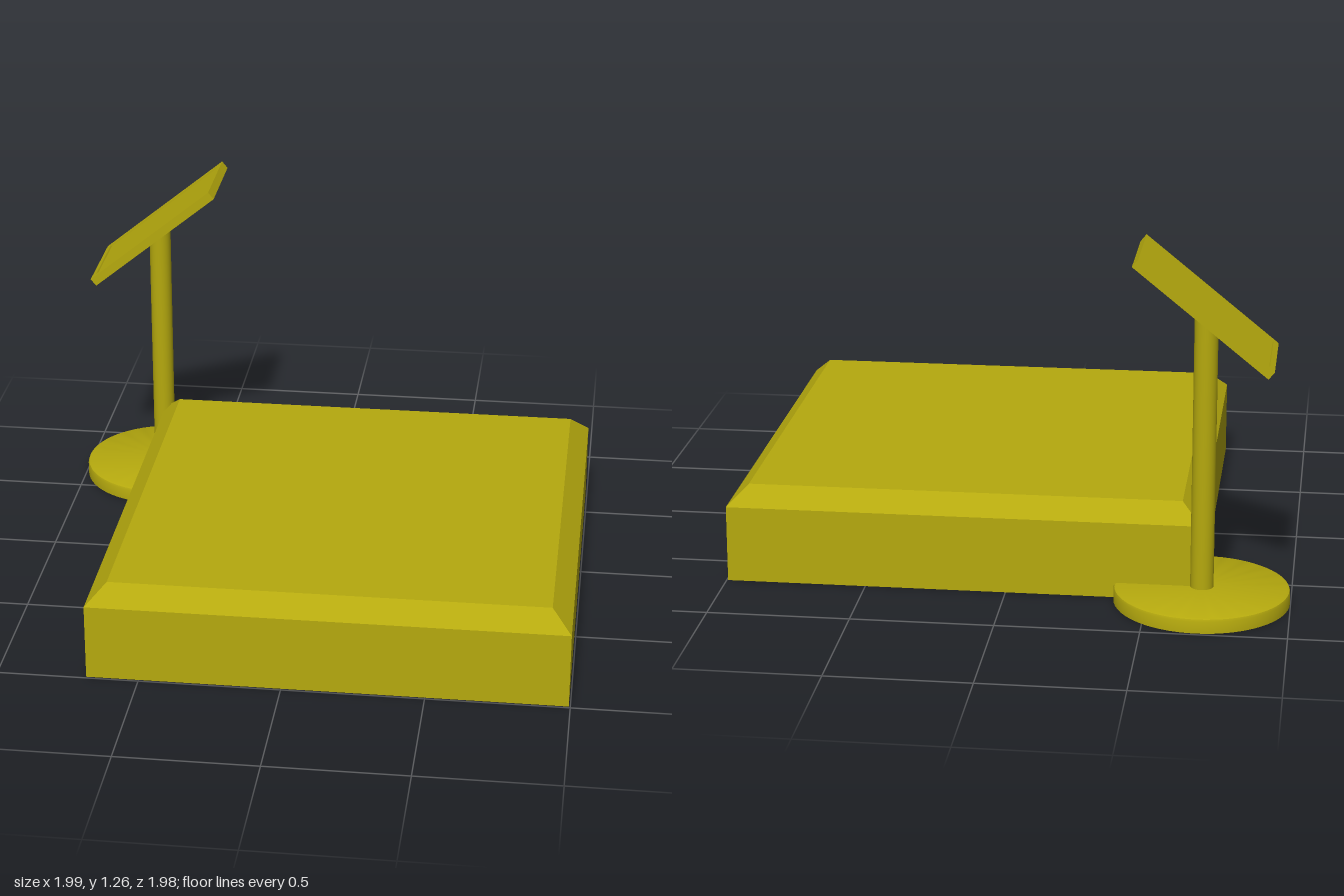
import * as THREE from 'three';
import { toCreasedNormals } from 'three/addons/utils/BufferGeometryUtils.js';

const material = new THREE.MeshStandardMaterial({ color: 0xb5a90e });

function add(parent, name, geometry, x = 0, y = 0, z = 0) {
  const mesh = new THREE.Mesh(geometry, material);
  mesh.name = name;
  mesh.position.set(x, y, z);
  parent.add(mesh);
  return mesh;
}

// Closed solid of revolution from [radius, height] pairs, listed bottom to top
function turned(points, sides, start = 0) {
  const profile = points.map(([r, y]) => new THREE.Vector2(r, y));
  return toCreasedNormals(new THREE.LatheGeometry(profile, sides, start), 0.6);
}

export function createModel() {
  const model = new THREE.Group();
  model.name = 'plinthWithSign';

  // Square plinth with a chamfered top edge (four-sided turning, half-widths as radii)
  const half = [[0, 0], [0.84, 0], [0.84, 0.275], [0.77, 0.342], [0, 0.342]];
  const plinth = turned(half.map(([w, y]) => [w * Math.SQRT2, y]), 4, Math.PI / 4);
  add(model, 'plinth', plinth, 0.155, 0, 0.152);

  // Sign stand at the back corner
  const stand = new THREE.Group();
  stand.name = 'signStand';
  stand.position.set(-0.69, 0, -0.682);
  model.add(stand);

  // Round foot with a softened upper rim
  const foot = [[0, 0], [0.308, 0], [0.308, 0.042], [0.305, 0.05], [0.297, 0.054], [0, 0.054]];
  add(stand, 'foot', turned(foot, 64));
  add(stand, 'post', new THREE.CylinderGeometry(0.041, 0.041, 0.99, 32), 0, 0.543, 0);

  // Tilted sign: backing board plus a thin raised frame around the face
  const sign = new THREE.Group();
  sign.name = 'sign';
  sign.position.set(0.002, 1.063, 0.017);
  sign.rotation.z = THREE.MathUtils.degToRad(39);
  stand.add(sign);

  const length = 0.595, width = 0.352, thick = 0.033, recess = 0.006, rim = 0.022;
  add(sign, 'signBoard', new THREE.BoxGeometry(length, thick - recess, width), 0, -recess / 2, 0);

  const outline = (path, l, w) => path.moveTo(-l, -w).lineTo(l, -w).lineTo(l, w).lineTo(-l, w).closePath();
  const frame = new THREE.Shape();
  outline(frame, length / 2, width / 2);
  const opening = new THREE.Path();
  outline(opening, length / 2 - rim, width / 2 - rim);
  frame.holes.push(opening);
  const frameGeometry = new THREE.ExtrudeGeometry(frame, { depth: recess, bevelEnabled: false });
  frameGeometry.rotateX(-Math.PI / 2);
  add(sign, 'signFrame', frameGeometry, 0, thick / 2 - recess, 0);

  return model;
}
